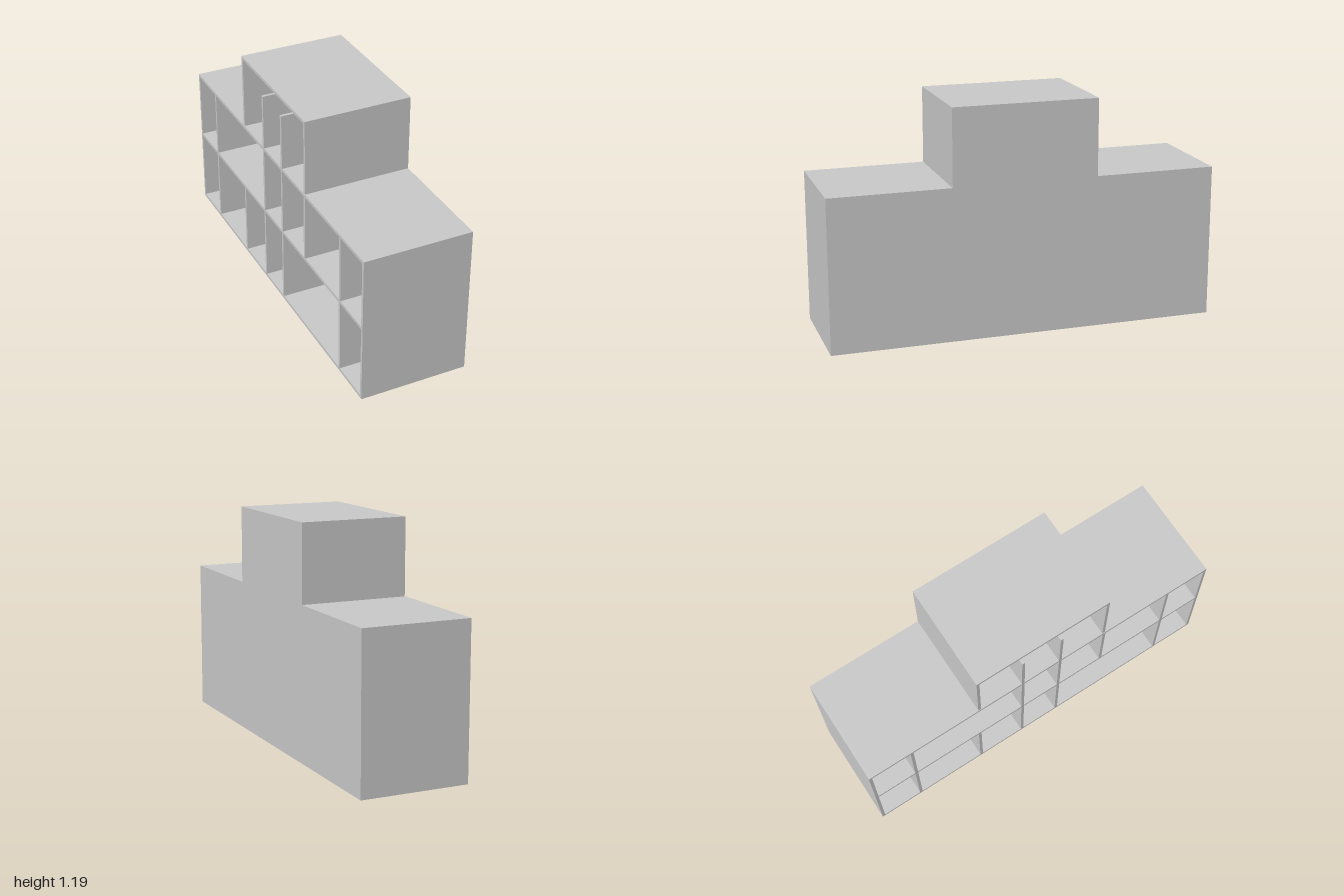
import * as THREE from 'three';

const T = 0.016;              // panel thickness
const X0 = -0.281, X1 = 0.281; // open side, closed side
const LOW = 0.79, MID = 0.42, TOP = 1.187;
const Z0 = -0.373, Z1 = 0.378; // ends of the raised middle

export function createModel() {
  const group = new THREE.Group();
  const material = new THREE.MeshStandardMaterial({ color: 0xcccccc });

  // Box panel given by its limits on each axis
  function panel(name, [xa, xb], [ya, yb], [za, zb]) {
    const mesh = new THREE.Mesh(new THREE.BoxGeometry(xb - xa, yb - ya, zb - za), material);
    mesh.position.set((xa + xb) / 2, (ya + yb) / 2, (za + zb) / 2);
    mesh.name = name;
    group.add(mesh);
  }
  const depth = [X0, X1 - T];
  const upperDepth = [X0 + 0.003, X1 - T];

  // Closed side, one panel per tier
  panel('lowerBackPanel', [X1 - T, X1], [0, LOW], [-1, 1]);
  panel('upperBackPanel', [X1 - T, X1], [LOW, TOP], [Z0, Z1]);

  // Lower case: ends and full-length shelves
  panel('rearEndPanel', depth, [0, LOW], [-1, -1 + T]);
  panel('frontEndPanel', depth, [0, LOW], [1 - T, 1]);
  panel('baseBoard', depth, [0, T], [-1 + T, 1 - T]);
  panel('middleShelf', depth, [MID - T, MID], [-1 + T, 1 - T]);
  panel('lowerTopBoard', depth, [LOW - T, LOW], [-1 + T, 1 - T]);

  // Raised middle case
  panel('upperRearEndPanel', upperDepth, [LOW, TOP], [Z0, Z0 + T]);
  panel('upperFrontEndPanel', upperDepth, [LOW, TOP], [Z1 - T, Z1]);
  panel('upperTopBoard', upperDepth, [TOP - T, TOP], [Z0 + T, Z1 - T]);

  // Upright dividers in each row; the top pair stops short of the roof
  const rows = [
    { name: 'bottomDivider', y: [T, MID - T], z: [-0.757, -0.373, -0.112, 0.108, 0.76] },
    { name: 'middleDivider', y: [MID, LOW - T], z: [-0.757, -0.112, 0.108, 0.372, 0.76] },
    { name: 'topDivider', y: [LOW, 1.085], z: [-0.112, 0.108] },
  ];
  for (const row of rows) {
    for (const z of row.z) panel(row.name, depth, row.y, [z - T / 2, z + T / 2]);
  }
  return group;
}
